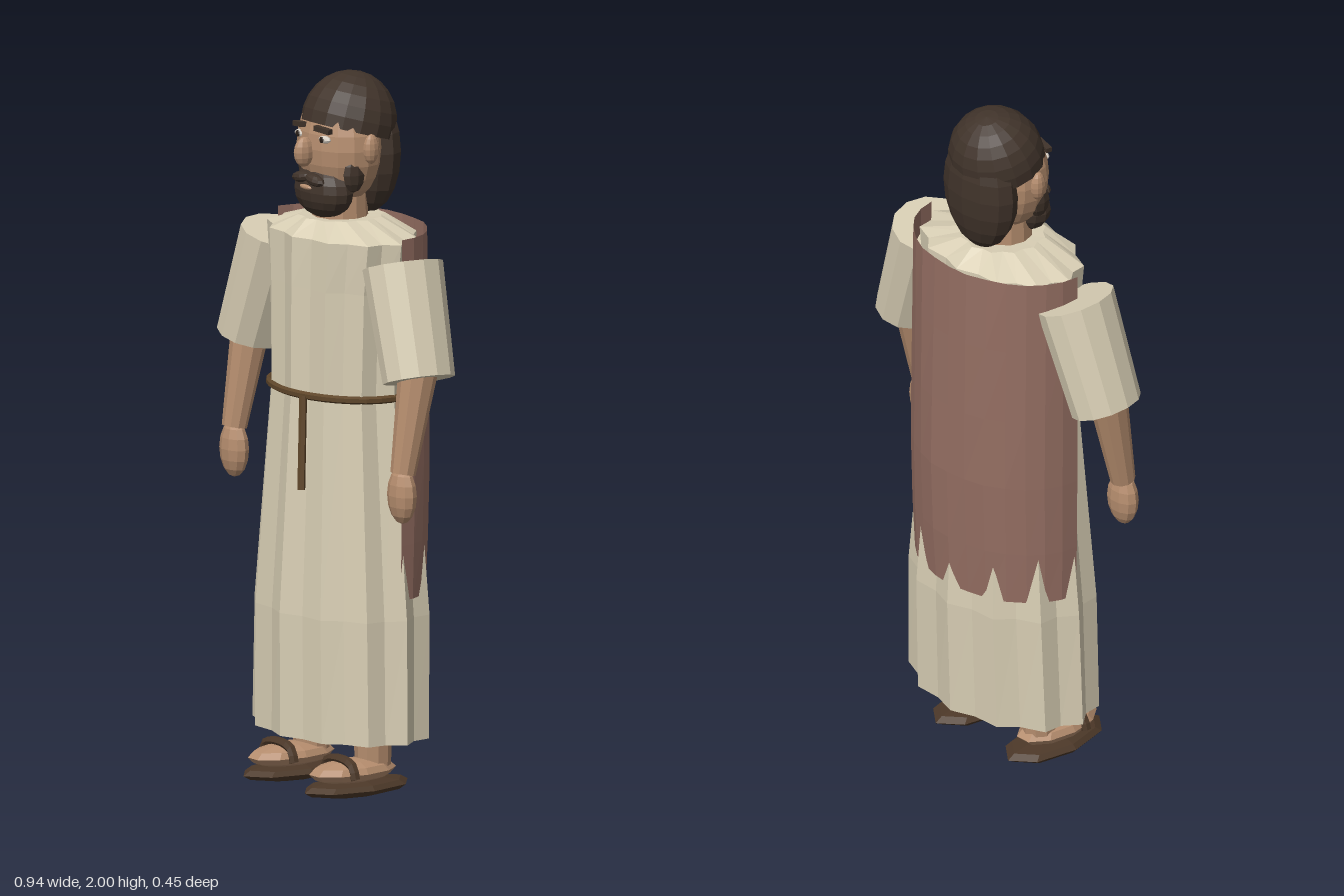
import * as THREE from 'three';

const paint = (color) => new THREE.MeshStandardMaterial({ color, flatShading: true, side: THREE.DoubleSide });
const CLOTH = paint(0xd8ceb4), CLOAK = paint(0x946e62), SKIN = paint(0xb58d6e);
const HAIR = paint(0x40332a), LEATHER = paint(0x4c3828), ROPE = paint(0x5e4529);
const WHITE = paint(0xd8d0c4), DARK = paint(0x2a1f18);

const V = (x, y, z) => new THREE.Vector3(x, y, z);

function add(parent, name, geometry, material) {
  const mesh = new THREE.Mesh(geometry, material);
  mesh.name = name;
  parent.add(mesh);
  return mesh;
}

// Ellipsoid with its centre and three radii
function blob(parent, name, material, c, r, w = 12, h = 8) {
  const mesh = add(parent, name, new THREE.SphereGeometry(1, w, h), material);
  mesh.scale.set(...r);
  mesh.position.set(...c);
  return mesh;
}

// Tapered cylinder between two points; depth stretches it along z
function limb(parent, name, material, from, to, r0, r1, sides = 10, depth = 1) {
  const dir = to.clone().sub(from);
  const geometry = new THREE.CylinderGeometry(r1, r0, dir.length(), sides).scale(1, 1, depth);
  const mesh = add(parent, name, geometry, material);
  mesh.position.copy(from).add(to).multiplyScalar(0.5);
  mesh.quaternion.setFromUnitVectors(V(0, 1, 0), dir.normalize());
  return mesh;
}

// Grid surface: point(u, v) sampled over columns and rows
function sheet(cols, rows, point) {
  const pos = [], idx = [];
  for (let j = 0; j <= rows; j++)
    for (let i = 0; i <= cols; i++) pos.push(...point(i, j));
  for (let j = 0; j < rows; j++)
    for (let i = 0; i < cols; i++) {
      const a = j * (cols + 1) + i, b = a + cols + 1;
      idx.push(a, a + 1, b + 1, a, b + 1, b);
    }
  const g = new THREE.BufferGeometry();
  g.setAttribute('position', new THREE.Float32BufferAttribute(pos, 3));
  g.setIndex(idx);
  g.computeVertexNormals();
  return g;
}

function buildRobe(model) {
  // Rings: height, half width, half depth, centre z
  const rings = [
    [0.165, 0, 0, 0], [0.165, 0.31, 0.206, -0.002], [0.51, 0.3, 0.213, -0.007],
    [1.12, 0.24, 0.176, -0.008], [1.42, 0.25, 0.176, -0.01], [1.56, 0.27, 0.174, -0.01],
    [1.605, 0.12, 0.12, -0.005], [1.6, 0, 0, 0],
  ];
  const robe = sheet(24, rings.length - 1, (i, j) => {
    const [y, rx, rz, cz] = rings[j];
    const a = (i / 24) * Math.PI * 2, pleat = i % 2 ? 0.91 : 1;
    return [Math.sin(a) * rx * pleat, y, cz + Math.cos(a) * rz * pleat];
  });
  add(model, 'robe', robe, CLOTH);

  // Rope belt with a hanging end
  const loop = [];
  for (let i = 0; i < 24; i++) {
    const a = (i / 24) * Math.PI * 2;
    loop.push(V(Math.sin(a) * 0.238, 1.125, -0.008 + Math.cos(a) * 0.176));
  }
  add(model, 'belt', new THREE.TubeGeometry(new THREE.CatmullRomCurve3(loop, true), 32, 0.011, 6, true), ROPE);
  limb(model, 'beltEnd', ROPE, V(0.06, 1.125, 0.17), V(0.092, 0.87, 0.2), 0.011, 0.011, 6);
}

function buildCloak(model) {
  // Half-ellipse drape around the back: height, half width, depth
  const rings = [
    [0.565, 0.28, 0.207], [0.72, 0.284, 0.216], [0.93, 0.286, 0.223],
    [1.14, 0.286, 0.22], [1.36, 0.286, 0.216], [1.578, 0.286, 0.212],
  ];
  const cloak = sheet(14, rings.length - 1, (i, j) => {
    const [y, rx, rz] = rings[j];
    const a = (i / 14) * Math.PI, fold = 1 + 0.012 * Math.sin(i * 2.1 + j * 0.8);
    return [Math.cos(a) * rx, y, -Math.sin(a) * rz * fold];
  });
  add(model, 'cloak', cloak, CLOAK);
}

function buildArm(model, s) {
  const arm = new THREE.Group();
  arm.name = s > 0 ? 'leftArm' : 'rightArm';
  model.add(arm);
  limb(arm, 'sleeve', CLOTH, V(s * 0.385, 1.205, 0.015), V(s * 0.283, 1.508, -0.005), 0.09, 0.1, 12, 1.17);
  limb(arm, 'forearm', SKIN, V(s * 0.39, 0.95, 0.073), V(s * 0.386, 1.25, 0.015), 0.035, 0.056, 10);
  blob(arm, 'hand', SKIN, [s * 0.388, 0.89, 0.075], [0.052, 0.08, 0.034], 10, 8);
}

function buildFoot(model, s) {
  const foot = new THREE.Group();
  foot.name = s > 0 ? 'leftFoot' : 'rightFoot';
  foot.position.x = s * 0.142;
  model.add(foot);
  blob(foot, 'sole', LEATHER, [0, 0.03, 0.05], [0.088, 0.026, 0.175], 8, 6);
  blob(foot, 'instep', SKIN, [0, 0.075, 0.062], [0.073, 0.034, 0.138], 10, 6);
  limb(foot, 'ankle', SKIN, V(0, 0.08, -0.007), V(0, 0.3, -0.007), 0.05, 0.055, 10);
  const path = new THREE.CatmullRomCurve3([
    V(-0.072, 0.065, 0.105), V(-0.058, 0.1, 0.105), V(0, 0.112, 0.105), V(0.058, 0.1, 0.105), V(0.072, 0.065, 0.105),
  ]);
  add(foot, 'strap', new THREE.TubeGeometry(path, 10, 0.014, 6), LEATHER);
}

function buildHead(model) {
  const head = new THREE.Group();
  head.name = 'head';
  model.add(head);
  limb(head, 'neck', SKIN, V(0, 1.56, 0), V(0, 1.72, 0), 0.08, 0.072, 12);
  blob(head, 'face', SKIN, [0, 1.8, 0], [0.135, 0.165, 0.11], 16, 12);

  // Hair: a cap tipped back and a long fall behind
  const cap = add(head, 'hairCap', new THREE.SphereGeometry(1, 16, 7, 0, Math.PI * 2, 0, Math.PI * 0.55), HAIR);
  cap.scale.set(0.137, 0.142, 0.13);
  cap.position.set(0, 1.86, -0.03);
  cap.rotation.x = -0.28;
  blob(head, 'backHair', HAIR, [0, 1.78, -0.09], [0.126, 0.18, 0.075], 12, 10);

  // Beard and moustache
  blob(head, 'beard', HAIR, [0, 1.68, 0.055], [0.108, 0.078, 0.065], 14, 10);
  blob(head, 'lip', SKIN, [0, 1.694, 0.117], [0.027, 0.007, 0.008], 8, 6);
  blob(head, 'nose', SKIN, [0, 1.793, 0.122], [0.02, 0.042, 0.033], 10, 8);

  for (const s of [-1, 1]) {
    blob(head, 'moustache', HAIR, [s * 0.03, 1.717, 0.108], [0.038, 0.016, 0.02], 10, 6).rotation.z = -s * 0.15;
    blob(head, 'sideburn', HAIR, [s * 0.105, 1.735, 0.03], [0.022, 0.05, 0.035], 8, 6);
    blob(head, 'ear', SKIN, [s * 0.137, 1.808, -0.005], [0.017, 0.042, 0.024], 10, 8);
    blob(head, 'eye', WHITE, [s * 0.055, 1.833, 0.093], [0.024, 0.011, 0.012], 10, 6);
    blob(head, 'pupil', DARK, [s * 0.055, 1.833, 0.104], [0.009, 0.009, 0.004], 8, 6);
    const brow = add(head, 'brow', new THREE.BoxGeometry(0.055, 0.014, 0.018), HAIR);
    brow.position.set(s * 0.054, 1.86, 0.098);
    brow.rotation.set(0, s * 0.2, -s * 0.1);
  }
}

export function createModel() {
  const model = new THREE.Group();
  model.name = 'robedMan';
  buildRobe(model);
  buildCloak(model);
  for (const s of [-1, 1]) {
    buildArm(model, s);
    buildFoot(model, s);
  }
  buildHead(model);
  return model;
}
